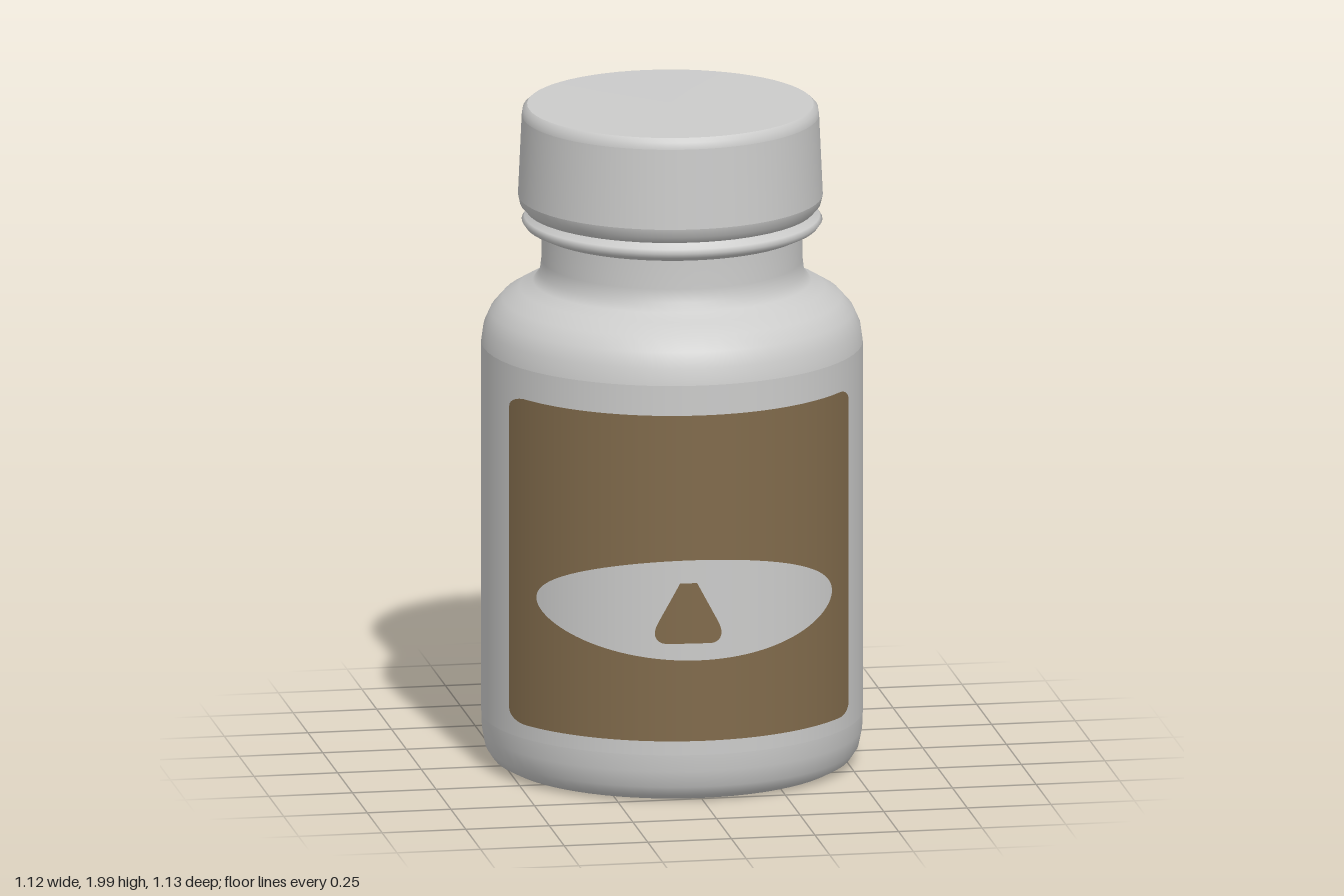
import * as THREE from 'three';

const R = 0.562; // body radius

export function createModel() {
  const plastic = new THREE.MeshStandardMaterial({ color: 0xcbcbca });
  const labelBrown = new THREE.MeshStandardMaterial({ color: 0x806a4b });
  plastic.name = 'plastic';
  labelBrown.name = 'labelBrown';

  const group = new THREE.Group();
  group.name = 'bottle';

  const add = (name, geometry, material) => {
    const mesh = new THREE.Mesh(geometry, material);
    mesh.name = name;
    group.add(mesh);
    return mesh;
  };

  // Turned part; a repeated profile point makes a sharp edge
  const turned = (name, profile) =>
    add(name, new THREE.LatheGeometry(profile.map(p => new THREE.Vector2(...p)), 64), plastic);

  // Body with rounded foot, shoulder and neck
  turned('body', [
    [0, 0.03], [0.42, 0.025], [0.46, 0.012], [0.5, 0.014], [0.53, 0.03], [0.55, 0.06],
    [0.56, 0.11], [R, 0.16], [R, 0.16], [R, 1.28], [R, 1.28], [0.555, 1.33], [0.535, 1.375],
    [0.5, 1.415], [0.45, 1.445], [0.41, 1.465], [0.39, 1.49], [0.385, 1.53], [0.385, 1.63],
  ]);

  // Tamper ring under the cap
  turned('tamperRing', [
    [0.38, 1.615], [0.4, 1.62], [0.432, 1.635], [0.443, 1.65], [0.435, 1.662], [0.415, 1.675], [0.41, 1.69],
  ]);

  // Screw cap, slightly tapered
  const cap = turned('cap', [
    [0.4, 1.672], [0.425, 1.68], [0.443, 1.7], [0.449, 1.725], [0.449, 1.725], [0.438, 1.965],
    [0.438, 1.965], [0.435, 1.985], [0.422, 1.997], [0.422, 1.997], [0, 2],
  ]);
  cap.position.set(-0.004, 0, -0.004);

  // Thin patch wrapped on the body front, bounded by low(x) and high(x)
  const patch = (name, x0, x1, low, high, lift, material) => {
    const n = 96, r = R + lift, pos = [], nor = [], idx = [];
    for (let i = 0; i <= n; i++) {
      // Cosine spacing keeps the rounded ends fine
      const x = (x0 + x1) / 2 - (x1 - x0) / 2 * Math.cos(Math.PI * i / n);
      const z = Math.sqrt(R * R - x * x);
      for (const y of [low(x), high(x)]) {
        pos.push(x * r / R, y, z * r / R);
        nor.push(x / R, 0, z / R);
      }
      const a = 2 * i;
      if (i < n) idx.push(a, a + 2, a + 1, a + 1, a + 2, a + 3);
    }
    const g = new THREE.BufferGeometry();
    g.setAttribute('position', new THREE.Float32BufferAttribute(pos, 3));
    g.setAttribute('normal', new THREE.Float32BufferAttribute(nor, 3));
    g.setIndex(idx);
    add(name, g, material);
  };

  // How far a rounded corner cuts in at x
  const corner = (x, x0, x1, c) => {
    const d = Math.max(0, c - Math.min(x - x0, x1 - x));
    return c - Math.sqrt(Math.max(0, c * c - d * d));
  };

  // Brown label
  const [l0, l1] = [-0.522, 0.472];
  patch('label', l0, l1,
    x => 0.203 + corner(x, l0, l1, 0.035),
    x => 1.19 - corner(x, l0, l1, 0.035), 0.002, labelBrown);

  // Pale oval on the label
  const oval = x => 0.152 * Math.sqrt(Math.max(0, 1 - ((x + 0.027) / 0.433) ** 2));
  patch('labelOval', -0.46, 0.406, x => 0.6 - oval(x), x => 0.6 + oval(x), 0.004, plastic);

  // Rounded triangle in the oval
  const [t0, t1] = [-0.147, 0.047];
  patch('labelTriangle', t0, t1,
    x => 0.5 + corner(x, t0, t1, 0.03),
    x => Math.min(0.683, 0.73 - 1.9 * Math.abs(x + 0.05)) - corner(x, t0, t1, 0.012),
    0.006, labelBrown);

  return group;
}
